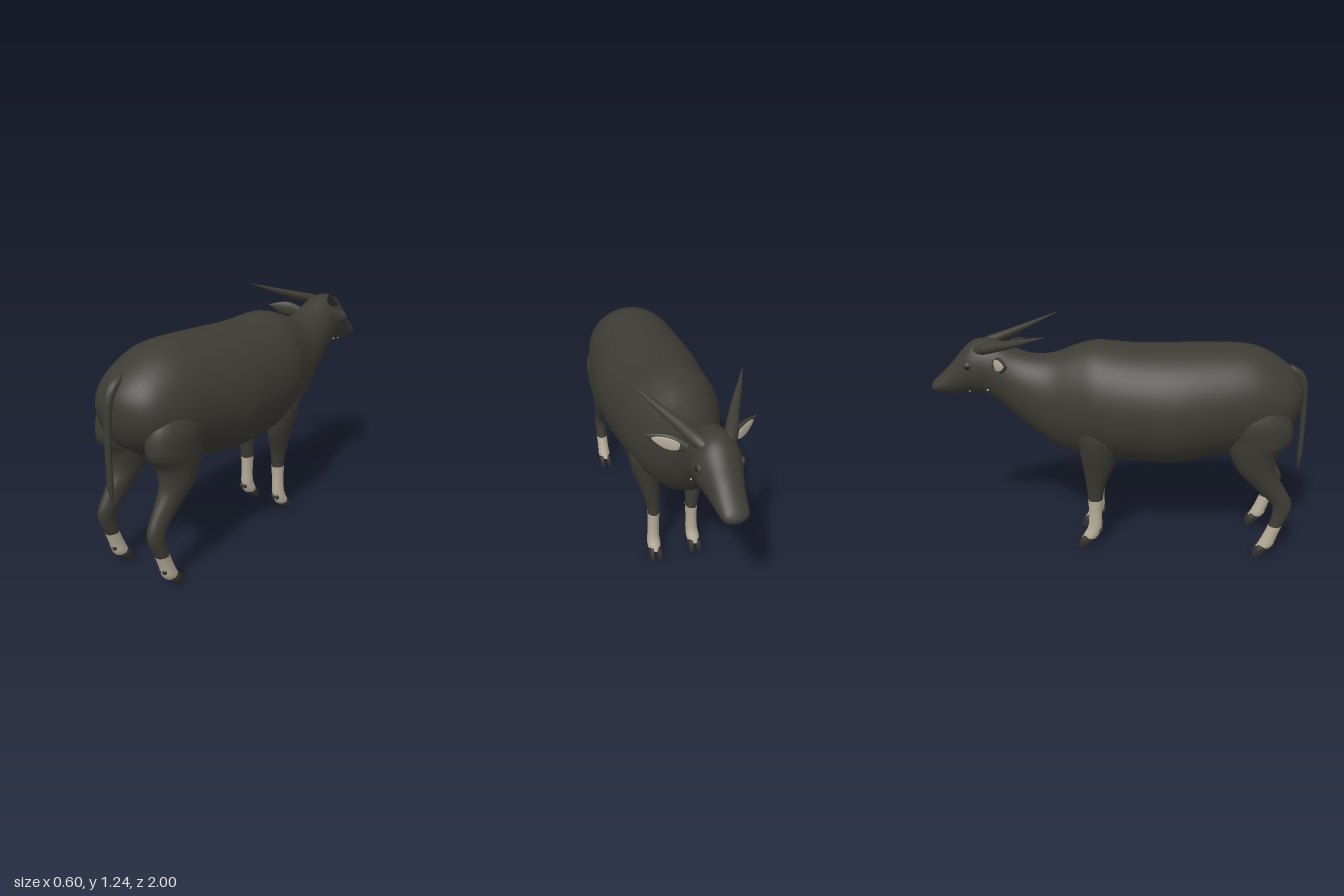
import * as THREE from 'three';

const flat = (name, color, side = THREE.FrontSide) => {
  const m = new THREE.MeshStandardMaterial({ color, side });
  m.name = name;
  return m;
};

// Smooth loft through ellipses. Row: [x, y, z, rx, r2]; r2 runs along y ('xy' rings) or z ('xz' rings).
function loft(rows, plane = 'xz', side = 1, sub = 4, seg = 28) {
  const rings = [];
  for (let i = 0; i < rows.length - 1; i++) {
    const p = [-1, 0, 1, 2].map(k => rows[THREE.MathUtils.clamp(i + k, 0, rows.length - 1)]);
    for (let s = 0; s < sub; s++) {
      const t = s / sub;
      rings.push(p[1].map((b, k) => {
        const a = p[0][k], c = p[2][k], d = p[3][k];
        return b + 0.5 * t * (c - a + t * (2 * a - 5 * b + 4 * c - d + t * (3 * (b - c) + d - a)));
      }));
    }
  }
  rings.push(rows[rows.length - 1]);
  const pos = [], idx = [];
  const addRing = ([x, y, z, rx, r2]) => {
    for (let j = 0; j < seg; j++) {
      const a = j / seg * Math.PI * 2, u = Math.cos(a) * rx, v = Math.sin(a) * r2;
      pos.push(side * (x + u), y + (plane === 'xy' ? v : 0), z + (plane === 'xz' ? v : 0));
    }
  };
  rings.forEach(addRing);
  for (let i = 0; i < rings.length - 1; i++) {
    for (let j = 0; j < seg; j++) {
      const a = i * seg + j, b = i * seg + (j + 1) % seg;
      idx.push(a, b, a + seg, b, b + seg, a + seg);
    }
  }
  // end caps with their own vertices, so the rims stay crisp
  [rings[0], rings[rings.length - 1]].forEach((r, e) => {
    const o = pos.length / 3;
    addRing(r);
    pos.push(side * r[0], r[1], r[2]);
    for (let j = 0; j < seg; j++) {
      const k = (j + 1) % seg;
      if (e) idx.push(o + j, o + k, o + seg);
      else idx.push(o + k, o + j, o + seg);
    }
  });
  // turn the faces outward
  const P = i => new THREE.Vector3().fromArray(pos, i * 3);
  let volume = 0;
  for (let i = 0; i < idx.length; i += 3) volume += P(idx[i]).dot(P(idx[i + 1]).cross(P(idx[i + 2])));
  if (volume < 0) idx.reverse();
  const g = new THREE.BufferGeometry();
  g.setAttribute('position', new THREE.Float32BufferAttribute(pos, 3));
  g.setIndex(idx);
  g.computeVertexNormals();
  return g;
}

export function createModel() {
  const model = new THREE.Group();
  const hide = flat('darkHide', 0x3c3b34);
  const pale = flat('paleSock', 0xb5ab98);
  const horny = flat('hoof', 0x2f2e2b);
  const eyeMat = flat('eye', 0x1c1b19);
  const add = (name, geo, mat, parent = model) => {
    const m = new THREE.Mesh(geo, mat);
    m.name = name;
    parent.add(m);
    return m;
  };
  const blob = (name, mat, x, y, z, rx, ry, rz) => {
    const m = add(name, new THREE.SphereGeometry(1, 16, 12), mat);
    m.position.set(x, y, z);
    m.scale.set(rx, ry, rz);
  };

  // rump to muzzle: z, top, bottom, half width
  const trunk = [
    [.965, .885, .865, .01], [.955, .94, .80, .08], [.92, .995, .72, .15], [.86, 1.05, .66, .205],
    [.76, 1.11, .60, .24], [.65, 1.14, .565, .262], [.46, 1.142, .52, .285], [.30, 1.138, .49, .298],
    [.12, 1.135, .495, .287], [0, 1.142, .50, .275], [-.12, 1.15, .51, .258], [-.23, 1.123, .53, .22],
    [-.34, 1.082, .57, .18], [-.44, 1.075, .645, .152], [-.53, 1.098, .715, .13], [-.62, 1.142, .80, .118],
    [-.70, 1.157, .855, .115], [-.77, 1.14, .862, .108], [-.83, 1.085, .855, .09], [-.88, 1.025, .853, .078],
    [-.94, .965, .855, .068], [-.98, .93, .865, .055], [-.998, .905, .885, .02],
  ].map(([z, t, b, w]) => [0, (t + b) / 2, z, w, (t - b) / 2]);
  add('bodyAndHead', loft(trunk, 'xy', 1, 4, 40), hide);

  // tail
  add('tail', loft([
    [0, 1.03, .895, .014, .01], [0, 1.0, .925, .028, .03], [0, .94, .962, .026, .025], [0, .85, .978, .022, .018],
    [0, .7, .985, .017, .014], [0, .6, .987, .018, .013], [0, .52, .986, .017, .013], [0, .44, .985, .002, .002],
  ], 'xz', 1, 4, 16), hide);

  // legs: upper part in hide, sock below
  const legs = [
    {
      name: 'hind', hoofX: .175, hoofZ: .80,
      upper: [[.13, .95, .70, .06, .09], [.165, .80, .72, .092, .165], [.166, .68, .735, .09, .165],
        [.16, .60, .712, .085, .128], [.165, .50, .732, .066, .10], [.167, .40, .808, .045, .08],
        [.17, .32, .872, .036, .058], [.174, .26, .88, .033, .046], [.175, .18, .855, .032, .036]],
      sock: [[.175, .18, .855, .033, .037], [.175, .12, .833, .033, .038], [.175, .07, .815, .036, .042],
        [.175, .045, .80, .033, .04]],
    },
    {
      name: 'front', hoofX: .117, hoofZ: -.16,
      upper: [[.13, .85, -.12, .05, .08], [.16, .72, -.11, .075, .105], [.15, .60, -.105, .075, .098],
        [.135, .50, -.105, .06, .083], [.12, .40, -.118, .045, .058], [.113, .33, -.123, .036, .045],
        [.11, .28, -.125, .033, .04]],
      sock: [[.11, .28, -.125, .034, .041], [.112, .20, -.125, .031, .036], [.114, .12, -.127, .033, .038],
        [.116, .07, -.145, .037, .042], [.117, .045, -.16, .034, .04]],
    },
  ];

  for (const s of [1, -1]) {
    const label = s > 0 ? 'Left' : 'Right';
    for (const leg of legs) {
      const g = new THREE.Group();
      g.name = leg.name + 'Leg' + label;
      model.add(g);
      add('upperLeg', loft(leg.upper, 'xz', s), hide, g);
      add('sock', loft(leg.sock, 'xz', s), pale, g);
      // cloven hoof and dewclaws
      for (const t of [-1, 1]) {
        const x = leg.hoofX, z = leg.hoofZ;
        add('toe', loft([[x + t * .017, .062, z + .002, .015, .03], [x + t * .02, .035, z - .012, .018, .037],
          [x + t * .021, 0, z - .035, .014, .026]], 'xz', s, 4, 16), horny, g);
        blob('dewclaw', horny, s * (x + t * .013), .095, z + (z > 0 ? .056 : .066), .012, .013, .012);
      }
    }

    // horn swept out and back
    add('horn' + label, loft([[.055, 1.105, -.745, .024, .02], [.075, 1.118, -.70, .034, .03],
      [.118, 1.145, -.61, .03, .026], [.165, 1.172, -.525, .023, .02], [.215, 1.202, -.44, .014, .012],
      [.264, 1.234, -.352, .002, .002]], 'xy', s, 4, 18), hide);

    // leaf-shaped ear with a pale lining
    const ear = new THREE.Group();
    ear.name = 'ear' + label;
    ear.position.set(s * .09, 1.045, -.645);
    ear.lookAt(s * .27, 1.085, -.535);
    model.add(ear);
    add('earShell', loft([[0, 0, 0, .012, .016], [0, 0, .06, .014, .034], [0, 0, .11, .014, .04],
      [0, 0, .165, .009, .026], [0, 0, .215, .002, .002]], 'xy', 1, 4, 16), hide, ear);
    add('earLining', loft([[s * .008, 0, .035, .002, .006], [s * .012, 0, .065, .005, .026],
      [s * .012, 0, .11, .005, .03], [s * .008, 0, .155, .004, .018], [s * .005, 0, .185, .001, .002]],
    'xy', 1, 4, 16), pale, ear);

    // eye with lid, and small whisker spots
    blob('eyelid' + label, hide, s * .098, 1.032, -.775, .014, .022, .024);
    blob('eye' + label, eyeMat, s * .103, 1.03, -.776, .013, .014, .015);
    blob('cheekSpot' + label, pale, s * .098, .905, -.68, .004, .006, .006);
    blob('jawSpot' + label, pale, s * .063, .885, -.785, .004, .005, .005);
  }
  return model;
}
